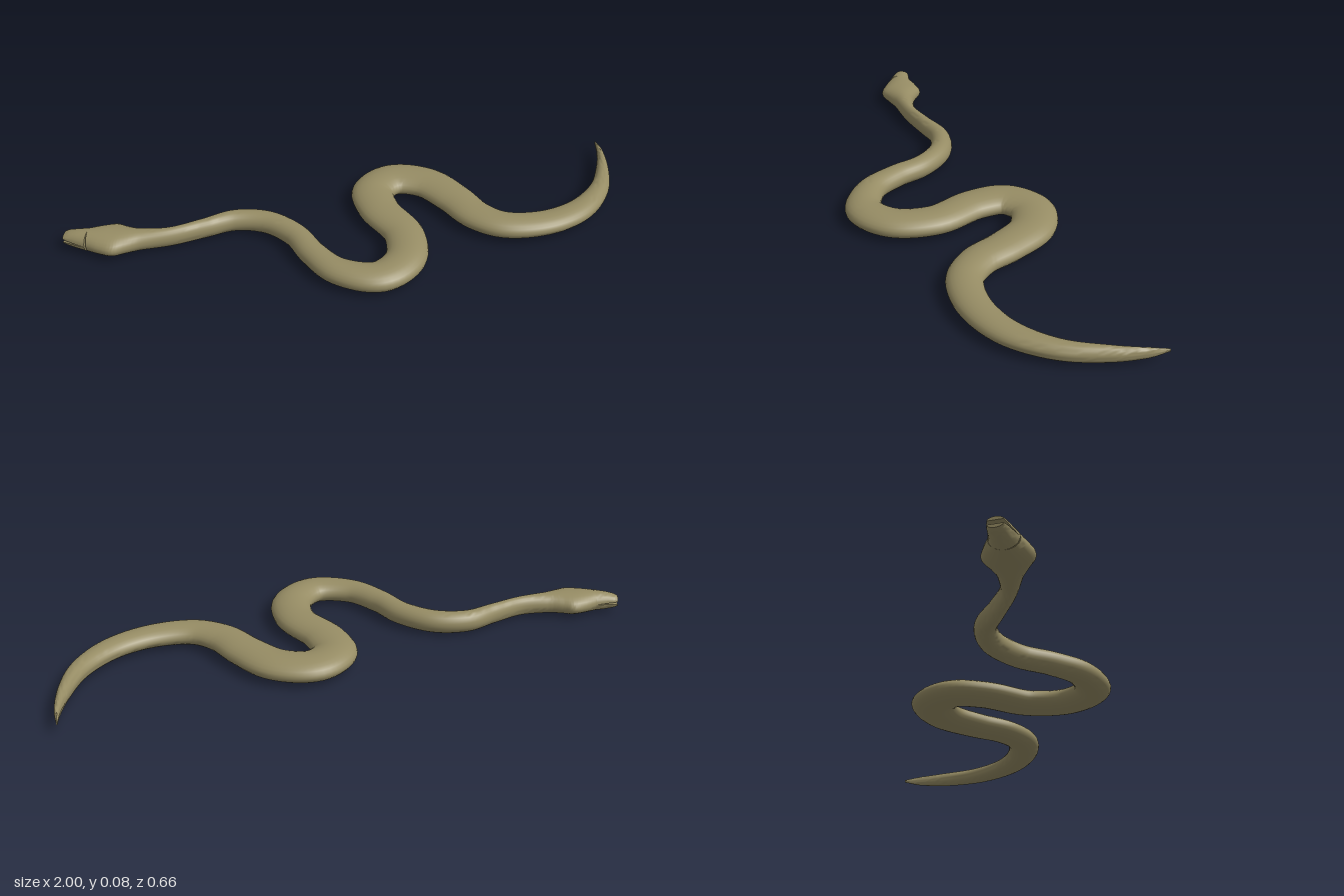
import * as THREE from 'three';
import { toCreasedNormals } from 'three/addons/utils/BufferGeometryUtils.js';

const MID = 0.038; // height of the spine above the ground

// Spine stations: x, z, half width, half height
const jawLine = [
  [-0.99, -0.243, 0.023, 0.017],
  [-0.978, -0.237, 0.028, 0.024],
  [-0.95, -0.222, 0.035, 0.031],
  [-0.915, -0.205, 0.045, 0.035],
];
const bodyLine = [
  [-0.915, -0.205, 0.045, 0.035],
  [-0.87, -0.19, 0.066, 0.037],
  [-0.83, -0.177, 0.077, 0.037],
  [-0.795, -0.167, 0.06, 0.037],
  [-0.75, -0.157, 0.04, 0.036],
  [-0.65, -0.143, 0.026, 0.035],
  [-0.53, -0.157, 0.028, 0.036],
  [-0.42, -0.172, 0.036, 0.037],
  [-0.315, -0.13, 0.041, 0.038],
  [-0.24, -0.03, 0.043, 0.038],
  [-0.208, 0.085, 0.046, 0.038],
  [-0.15, 0.2, 0.053, 0.038],
  [-0.03, 0.264, 0.066, 0.038],
  [0.075, 0.205, 0.07, 0.038],
  [0.116, 0.07, 0.07, 0.038],
  [0.077, -0.09, 0.073, 0.038],
  [0.09, -0.205, 0.076, 0.038],
  [0.18, -0.256, 0.079, 0.038],
  [0.285, -0.205, 0.077, 0.038],
  [0.35, -0.08, 0.071, 0.038],
  [0.39, 0.035, 0.066, 0.037],
  [0.462, 0.115, 0.06, 0.036],
  [0.6, 0.145, 0.056, 0.033],
  [0.745, 0.112, 0.049, 0.031],
  [0.87, 0.015, 0.035, 0.03],
  [0.945, -0.11, 0.022, 0.027],
  [0.985, -0.215, 0.01, 0.018],
  [0.998, -0.277, 0.002, 0.005],
];

// Sweeps a closed section(halfWidth, halfHeight, t) -> [[side, up], ...] along the stations
function sweep(stations, steps, section) {
  const path = new THREE.CatmullRomCurve3(stations.map(([x, z]) => new THREE.Vector3(x, MID, z)));
  const size = new THREE.CatmullRomCurve3(
    stations.map(([, , w, h]) => new THREE.Vector3(w, h, 0)), false, 'catmullrom', 0.5);
  const up = new THREE.Vector3(0, 1, 0);
  const pos = [], index = [], centres = [];
  let n = 0;
  for (let i = 0; i <= steps; i++) {
    const t = i / steps;
    const p = path.getPoint(t), s = size.getPoint(t);
    const side = up.clone().cross(path.getTangent(t)).normalize();
    const ring = section(s.x, s.y, t).map(([u, v]) => p.clone().addScaledVector(side, u).addScaledVector(up, v));
    n = ring.length;
    ring.forEach((v) => pos.push(v.x, v.y, v.z));
    centres.push(ring.reduce((c, v) => c.addScaledVector(v, 1 / n), new THREE.Vector3()));
  }
  for (let i = 0; i < steps; i++) {
    for (let j = 0; j < n; j++) {
      const a = i * n + j, b = i * n + (j + 1) % n;
      index.push(a, b, a + n, b, b + n, a + n);
    }
  }
  // End caps
  const first = pos.length / 3, last = steps * n;
  [centres[0], centres[steps]].forEach((c) => pos.push(c.x, c.y, c.z));
  for (let j = 0; j < n; j++) {
    const k = (j + 1) % n;
    index.push(first, k, j, first + 1, last + j, last + k);
  }
  const geo = new THREE.BufferGeometry();
  geo.setAttribute('position', new THREE.Float32BufferAttribute(pos, 3));
  geo.setIndex(index);
  return toCreasedNormals(geo, 0.9);
}

const ellipse = (w, h) => Array.from({ length: 24 }, (_, j) => {
  const a = (j / 24) * Math.PI * 2;
  return [w * Math.cos(a), h * Math.sin(a)];
});

// Half ellipse with a flat side, leaving a mouth gap that closes towards the hinge
const jaw = (sign) => (w, h, t) => Array.from({ length: 13 }, (_, j) => {
  const a = (j / 12) * Math.PI + (sign < 0 ? Math.PI : 0);
  const gap = 0.006 * (1 - t);
  return [w * Math.cos(a), sign * gap + (h - gap) * Math.sin(a)];
});

export function createModel() {
  const group = new THREE.Group();
  group.name = 'snake';
  const skin = new THREE.MeshStandardMaterial({ color: 0x968c64 });
  skin.name = 'olive skin';

  const add = (name, geometry) => {
    const mesh = new THREE.Mesh(geometry, skin);
    mesh.name = name;
    group.add(mesh);
  };
  add('body', sweep(bodyLine, 216, ellipse));
  add('upperJaw', sweep(jawLine, 12, jaw(1)));
  add('lowerJaw', sweep(jawLine, 12, jaw(-1)));
  return group;
}
